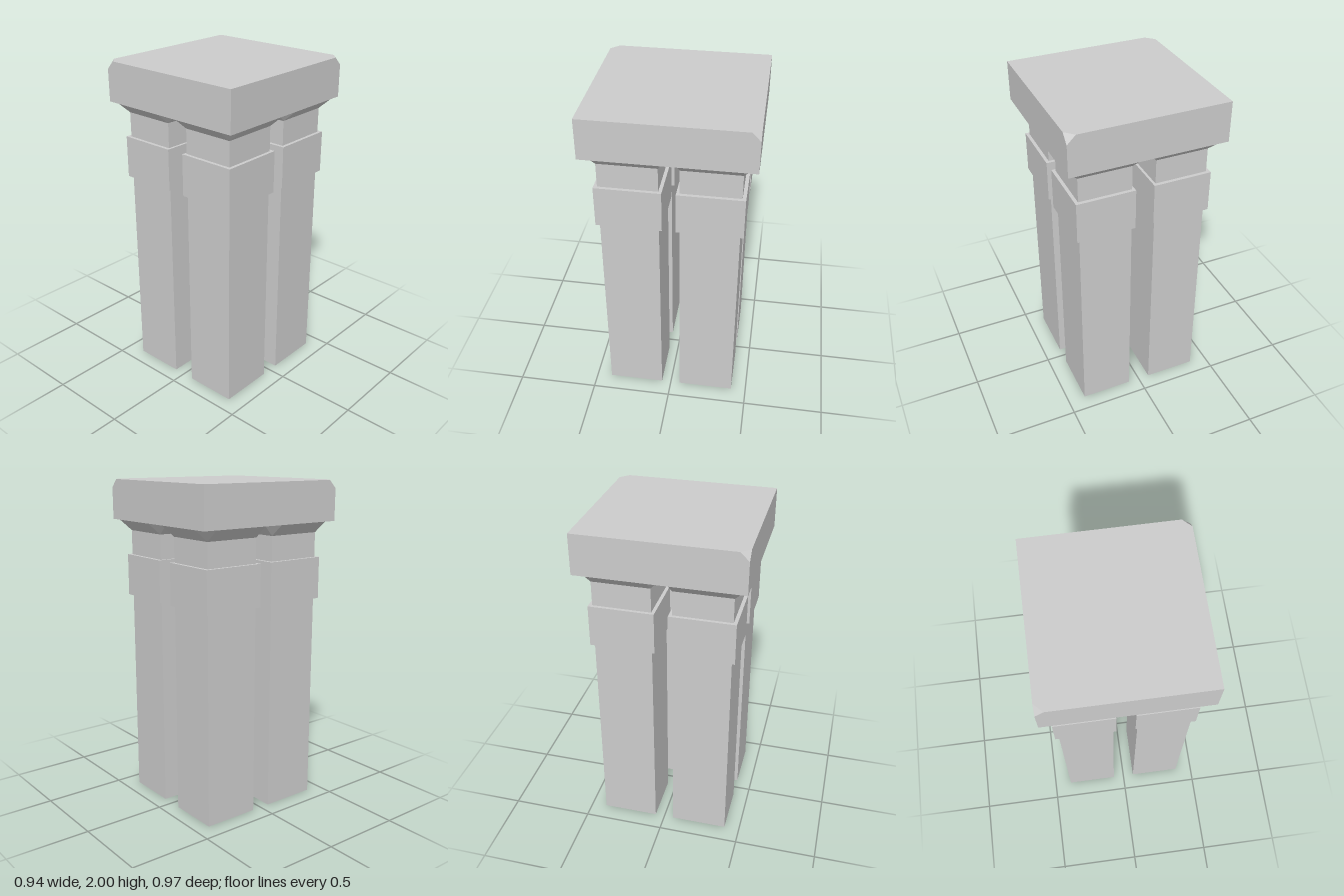
import * as THREE from 'three';
import { ConvexGeometry } from 'three/addons/geometries/ConvexGeometry.js';

const HALF_X = 0.469, HALF_Z = 0.486;     // top slab half sizes
const SLAB_BOTTOM = 1.758, TOP = 2, FLARE_BOTTOM = 1.69;
const CHIP = 0.05;                        // size of the two chipped slab corners

const material = new THREE.MeshStandardMaterial({ color: 0xcccccc, flatShading: true });

function addMesh(parent, name, geometry) {
  const mesh = new THREE.Mesh(geometry, material);
  mesh.name = name;
  parent.add(mesh);
}

// Box given by its extents along each axis
function boxBetween([x0, x1], [y0, y1], [z0, z1]) {
  return new THREE.BoxGeometry(x1 - x0, y1 - y0, z1 - z0)
    .translate((x0 + x1) / 2, (y0 + y1) / 2, (z0 + z1) / 2);
}

// Extents mirrored to the negative side when sign is -1
const side = (sign, near, far) => (sign > 0 ? [near, far] : [-far, -near]);

// Flare: a square foot opening into an octagonal rim, with a triangle at each corner
function flareGeometry(footX, footZ, rimX, rimZ) {
  const points = [];
  for (const i of [0, 1]) {
    for (const j of [0, 1]) {
      points.push(
        new THREE.Vector3(footX[i], FLARE_BOTTOM, footZ[j]),
        new THREE.Vector3(rimX[i], SLAB_BOTTOM, footZ[j]),
        new THREE.Vector3(footX[i], SLAB_BOTTOM, rimZ[j]),
      );
    }
  }
  return new ConvexGeometry(points);
}

// Slab with two diagonally opposite top corners cut off
function slabGeometry() {
  const points = [];
  for (const sx of [-1, 1]) {
    for (const sz of [-1, 1]) {
      const x = sx * HALF_X, z = sz * HALF_Z;
      points.push(new THREE.Vector3(x, SLAB_BOTTOM, z));
      if (sx === sz) {
        points.push(new THREE.Vector3(x, TOP, z));
      } else {
        points.push(
          new THREE.Vector3(x, TOP - CHIP, z),
          new THREE.Vector3(x - sx * CHIP, TOP, z),
          new THREE.Vector3(x, TOP, z - sz * CHIP),
        );
      }
    }
  }
  return new ConvexGeometry(points);
}

export function createModel() {
  const model = new THREE.Group();
  model.name = 'clusteredColumn';

  // Four pillars, each with a band and a flared head
  for (const sx of [-1, 1]) {
    for (const sz of [-1, 1]) {
      const pillar = new THREE.Group();
      pillar.name = `${sz > 0 ? 'front' : 'back'}${sx > 0 ? 'Left' : 'Right'}Pillar`;
      const shaftX = side(sx, 0.071, 0.39), shaftZ = side(sz, 0.06, 0.405);
      addMesh(pillar, 'shaft', boxBetween(shaftX, [0, FLARE_BOTTOM], shaftZ));
      addMesh(pillar, 'band',
        boxBetween(side(sx, 0.056, 0.41), [1.287, 1.541], side(sz, 0.04, 0.426)));
      addMesh(pillar, 'flare',
        flareGeometry(shaftX, shaftZ, side(sx, 0, HALF_X), side(sz, 0, HALF_Z)));
      model.add(pillar);
    }
  }

  addMesh(model, 'topSlab', slabGeometry());
  return model;
}
